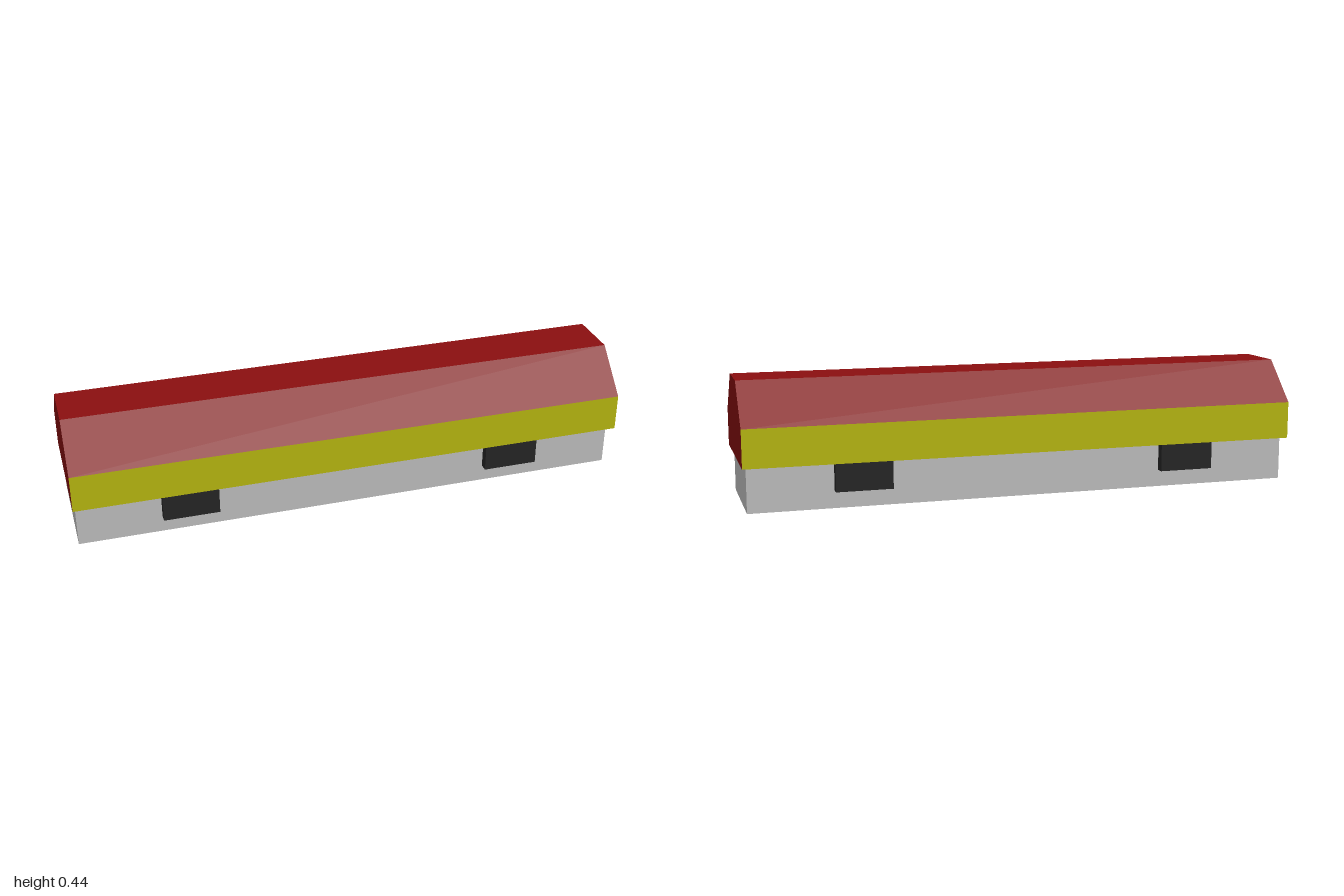
import * as THREE from 'three';

const paint = (color) => new THREE.MeshStandardMaterial({ color, flatShading: true });
const grey = paint(0xcccccc);
const red = paint(0x8b0f10);
const yellow = paint(0xc4c412);
const black = paint(0x282828);

function add(parent, name, geometry, material, x = 0, y = 0, z = 0) {
  const mesh = new THREE.Mesh(geometry, material);
  mesh.name = name;
  mesh.position.set(x, y, z);
  parent.add(mesh);
  return mesh;
}

// Flat panel running the full length between two [z, y] profile points
function panelGeometry([z0, y0], [z1, y1]) {
  const g = new THREE.BufferGeometry();
  g.setAttribute('position', new THREE.Float32BufferAttribute(
    [-1, y0, z0, 1, y0, z0, 1, y1, z1, -1, y1, z1], 3));
  g.setIndex([0, 1, 2, 0, 2, 3]);
  g.computeVertexNormals();
  return g;
}

export function createModel() {
  const model = new THREE.Group();
  model.name = 'chest';

  // Long grey base
  add(model, 'base', new THREE.BoxGeometry(1.975, 0.16, 0.395), grey, -0.0025, 0.08, 0);

  // Lid: one panel per profile edge, from the front round to the underside
  const lid = new THREE.Group();
  lid.name = 'lid';
  model.add(lid);
  const profile = [[0.238, 0.16], [0.238, 0.294], [0.095, 0.437],
    [-0.095, 0.437], [-0.238, 0.294], [-0.238, 0.16]];
  const panels = [['frontBand', yellow], ['frontSlope', red], ['lidTop', red],
    ['backSlope', red], ['backBand', yellow], ['lidUnderside', grey]];
  panels.forEach(([name, material], i) =>
    add(lid, name, panelGeometry(profile[i], profile[(i + 1) % profile.length]), material));

  // Lid end caps
  const endShape = new THREE.Shape(profile.map(([z, y]) => new THREE.Vector2(z, y)));
  for (const side of [1, -1]) {
    const end = add(lid, side > 0 ? 'leftEnd' : 'rightEnd',
      new THREE.ShapeGeometry(endShape), red, side, 0, 0);
    end.rotation.y = side * Math.PI / 2;
  }

  // Two latches on the front and two on the back
  for (const side of [1, -1]) {
    for (const x of [-0.597, 0.591]) {
      add(model, side > 0 ? 'frontLatch' : 'backLatch',
        new THREE.BoxGeometry(0.198, 0.099, 0.03), black, x, 0.1105, side * 0.2135);
    }
  }
  return model;
}
